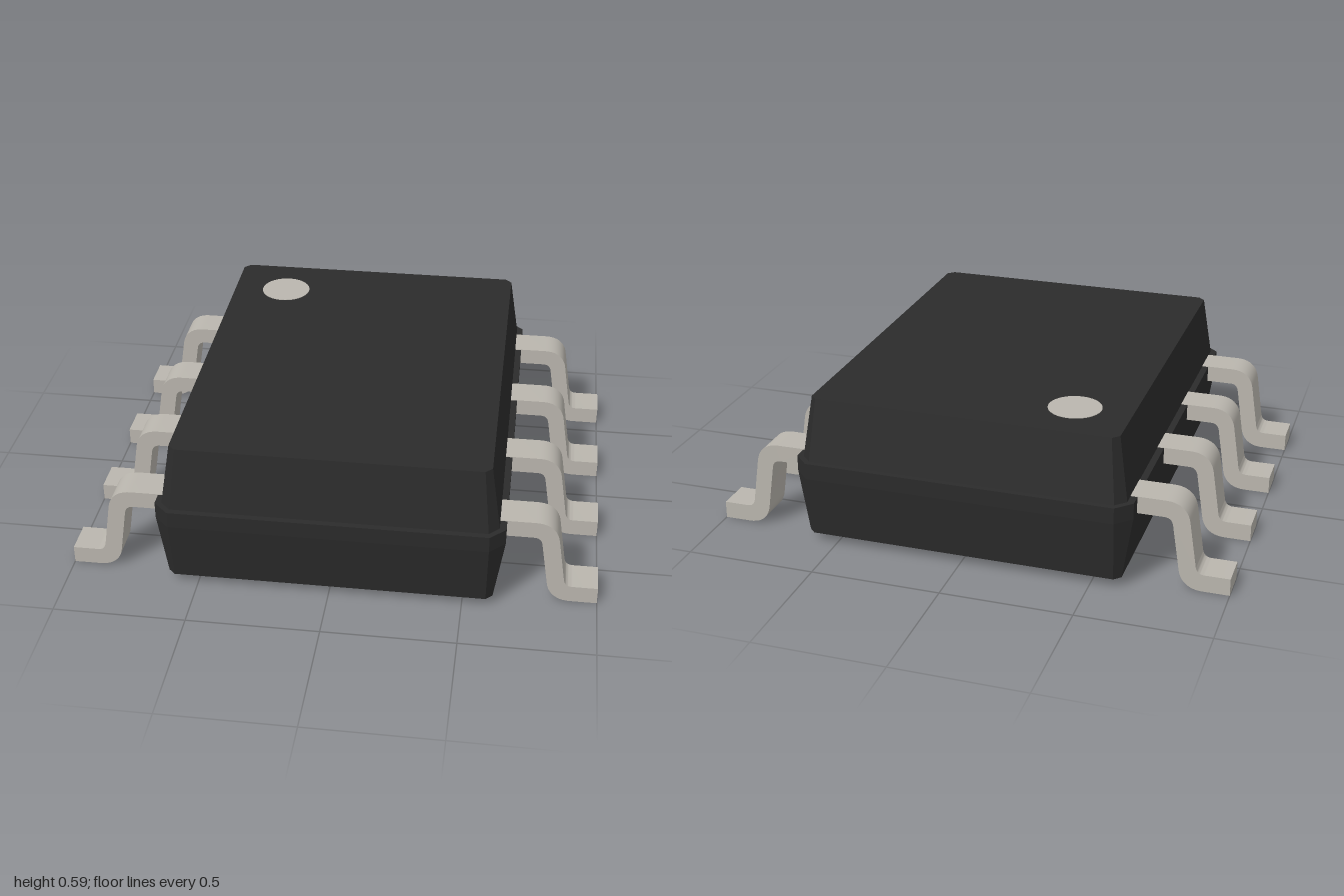
import * as THREE from 'three';
import { toCreasedNormals } from 'three/addons/utils/BufferGeometryUtils.js';

const plastic = new THREE.MeshStandardMaterial({ name: 'black plastic', color: 0x2b2b2b });
const metal = new THREE.MeshStandardMaterial({ name: 'tinned metal', color: 0xbab6ae });

// Rectangle with cut corners, counter-clockwise seen from above
function ring([y, x, z, c]) {
  return [
    [x, y, z - c], [x, y, -z + c], [x - c, y, -z], [-x + c, y, -z],
    [-x, y, -z + c], [-x, y, z - c], [-x + c, y, z], [x - c, y, z],
  ];
}

// Skin the rings from bottom to top and cap both ends, with flat faces
function loft(sections) {
  const rings = sections.map(ring);
  const positions = [];
  const tri = (...corners) => corners.forEach((p) => positions.push(...p));
  for (let k = 0; k < rings.length - 1; k++) {
    const a = rings[k], b = rings[k + 1];
    for (let i = 0; i < 8; i++) {
      const j = (i + 1) % 8;
      tri(a[i], a[j], b[j]);
      tri(a[i], b[j], b[i]);
    }
  }
  const bottom = rings[0], top = rings[rings.length - 1];
  for (let i = 1; i < 7; i++) {
    tri(bottom[0], bottom[i + 1], bottom[i]);
    tri(top[0], top[i], top[i + 1]);
  }
  const geometry = new THREE.BufferGeometry();
  geometry.setAttribute('position', new THREE.Float32BufferAttribute(positions, 3));
  geometry.computeVertexNormals();
  return geometry;
}

// Gull-wing strip: shoulder, sloping shank and foot
function leadGeometry(width) {
  const s = new THREE.Shape();
  s.moveTo(0.6, 0.345);
  s.lineTo(0.755, 0.345);
  s.bezierCurveTo(0.805, 0.345, 0.838, 0.318, 0.845, 0.27);
  s.lineTo(0.872, 0.095);
  s.quadraticCurveTo(0.877, 0.067, 0.905, 0.067);
  s.lineTo(1, 0.067);
  s.lineTo(1, 0);
  s.lineTo(0.9, 0);
  s.bezierCurveTo(0.85, 0, 0.817, 0.027, 0.81, 0.075);
  s.lineTo(0.783, 0.25);
  s.quadraticCurveTo(0.778, 0.279, 0.75, 0.279);
  s.lineTo(0.6, 0.279);
  s.closePath();
  const g = new THREE.ExtrudeGeometry(s, { depth: width, bevelEnabled: false, curveSegments: 10 });
  g.translate(0, 0, -width / 2);
  return toCreasedNormals(g, 0.6);
}

export function createModel() {
  const model = new THREE.Group();
  model.name = 'chipPackage';

  // Moulded body: height, half width, half depth, corner cut
  const body = new THREE.Mesh(loft([
    [0.037, 0.613, 0.78, 0.025],
    [0.28, 0.65, 0.815, 0.058],
    [0.343, 0.65, 0.815, 0.058],
    [0.343, 0.625, 0.791, 0.038],
    [0.585, 0.588, 0.755, 0.025],
  ]), plastic);
  body.name = 'body';
  model.add(body);

  // Orientation dot on the top face
  const dot = new THREE.Mesh(new THREE.CylinderGeometry(0.1, 0.1, 0.004, 48), metal);
  dot.name = 'orientationDot';
  dot.position.set(-0.37, 0.585, -0.54);
  model.add(dot);

  // Four leads on each side
  const lead = leadGeometry(0.134);
  for (const side of [1, -1]) {
    const row = new THREE.Group();
    row.name = side > 0 ? 'leftLeads' : 'rightLeads';
    row.rotation.y = side > 0 ? 0 : Math.PI;
    for (let i = 0; i < 4; i++) {
      const mesh = new THREE.Mesh(lead, metal);
      mesh.name = `lead${i + 1}`;
      mesh.position.z = (i - 1.5) * 0.425;
      row.add(mesh);
    }
    model.add(row);
  }
  return model;
}
